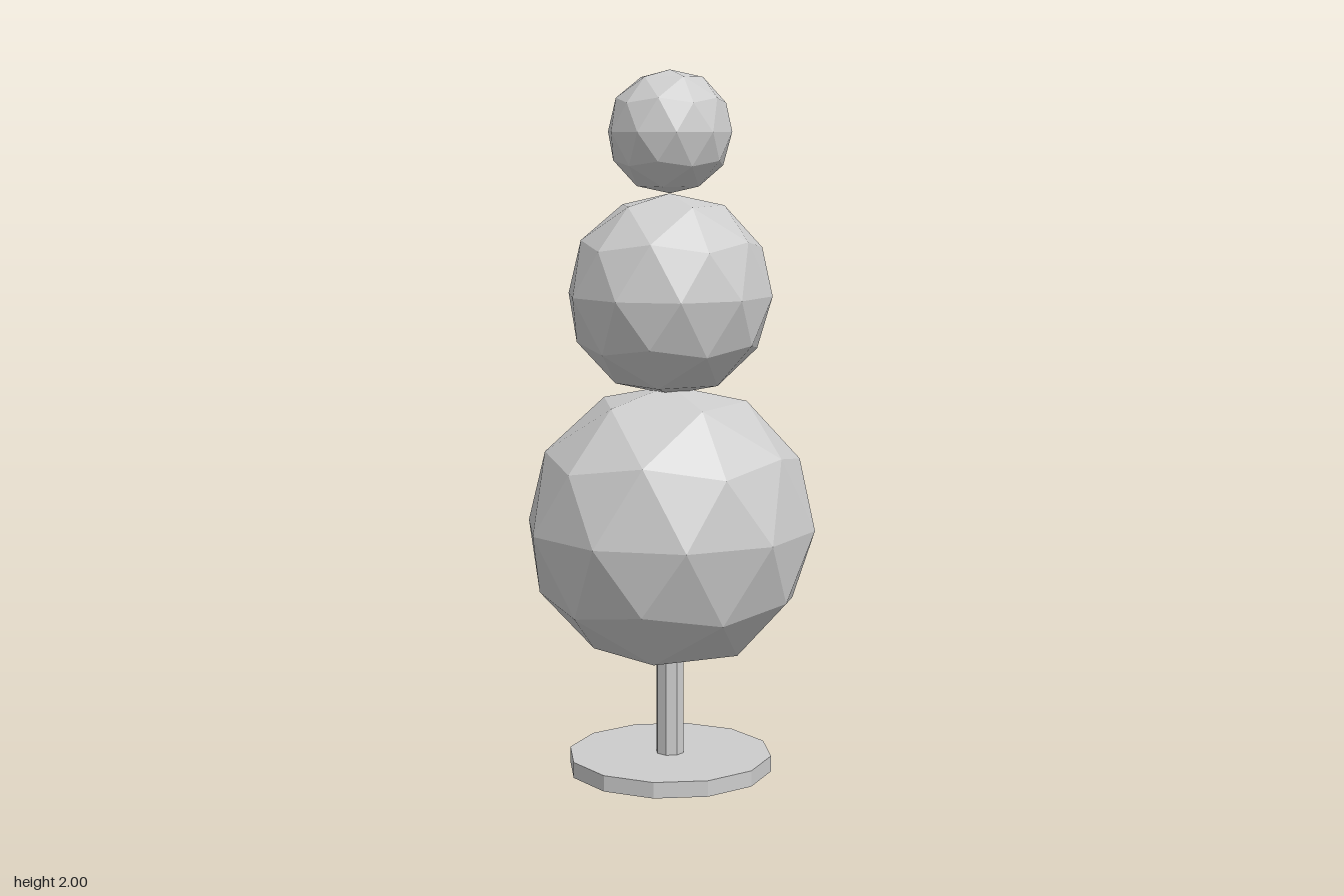
import * as THREE from 'three';

// Low-poly ball: subdivided icosahedron, corner up, poles slightly flattened
function ballGeometry() {
  const geo = new THREE.IcosahedronGeometry(1, 1);
  geo.rotateX(-Math.atan((1 + Math.sqrt(5)) / 2));
  geo.rotateY(Math.PI / 2);
  const pos = geo.attributes.position;
  for (let i = 0; i < pos.count; i++) {
    const y = pos.getY(i);
    if (Math.abs(y) > 0.99) pos.setY(i, y * 0.965);
  }
  geo.computeVertexNormals();
  return geo;
}

export function createModel() {
  const group = new THREE.Group();
  group.name = 'ballTopiary';
  const grey = new THREE.MeshStandardMaterial({ color: 0xcccccc, flatShading: true });
  grey.name = 'pale grey';

  const add = (name, geo, x, y, z) => {
    const mesh = new THREE.Mesh(geo, grey);
    mesh.name = name;
    mesh.position.set(x, y, z);
    group.add(mesh);
    return mesh;
  };

  // Upright prism with flat sides facing the axes
  const prism = (name, radius, bottom, top, sides) => {
    const geo = new THREE.CylinderGeometry(radius, radius, top - bottom, sides);
    geo.rotateY(Math.PI / sides);
    add(name, geo, 0, (top + bottom) / 2, 0);
  };
  prism('base', 0.295, 0, 0.046, 12);
  prism('stem', 0.041, 0.04, 0.36, 8);

  // Three stacked balls: name, radius, height, depth offset
  const ball = ballGeometry();
  for (const [name, r, y, z] of [
    ['lowerBall', 0.418, 0.715, 0],
    ['middleBall', 0.294, 1.375, -0.009],
    ['upperBall', 0.177, 1.83, -0.006],
  ]) {
    add(name, ball, 0, y, z).scale.setScalar(r);
  }
  return group;
}
